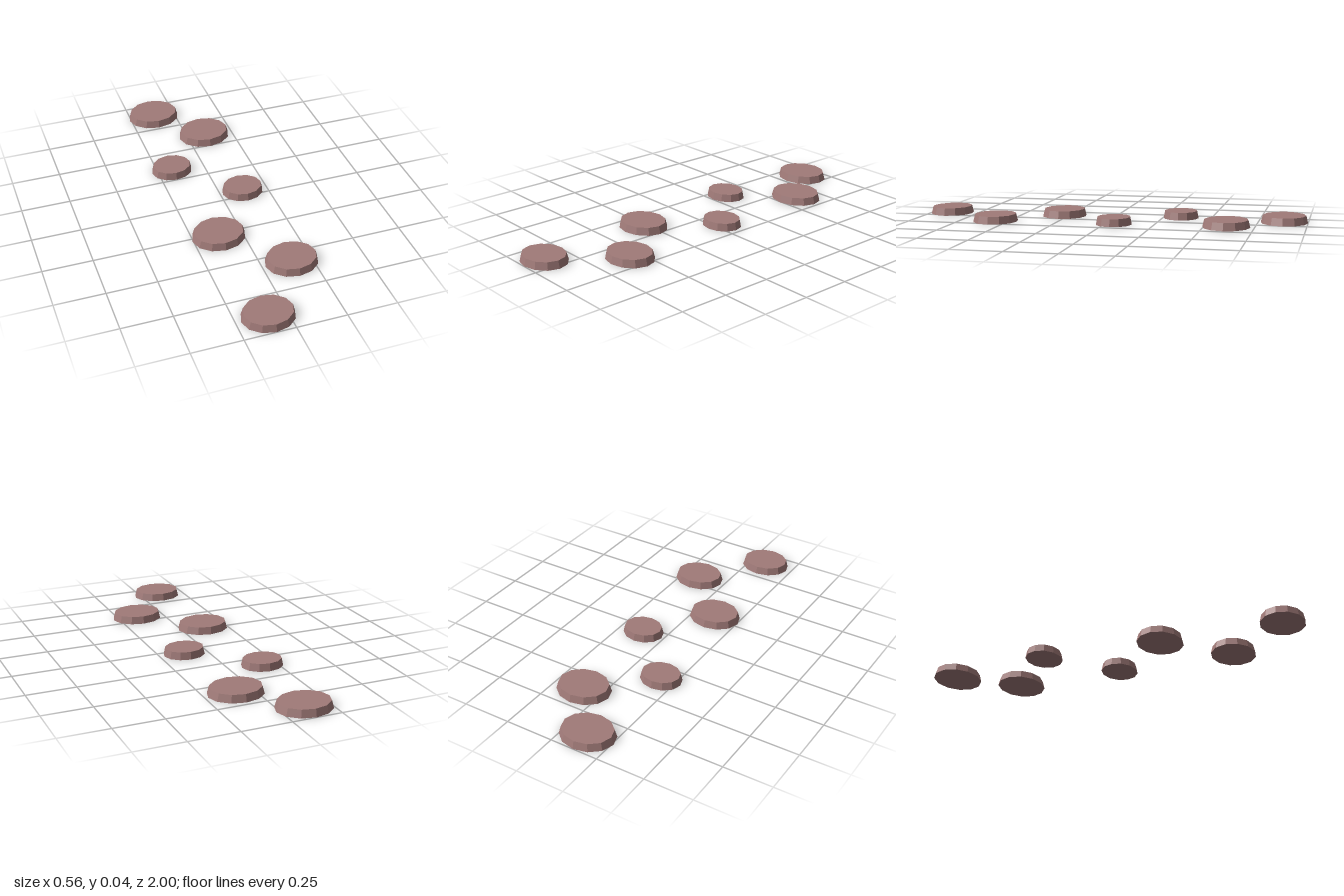
import * as THREE from 'three';

const HEIGHT = 0.038;

// Centre x, centre z and half-width of each stone, back to front
const STONES = [
  [-0.12, -0.881, 0.14],
  [0.094, -0.611, 0.14],
  [-0.174, -0.343, 0.108],
  [0.12, -0.048, 0.108],
  [-0.12, 0.271, 0.136],
  [0.149, 0.566, 0.133],
  [-0.094, 0.889, 0.13],
];

export function createModel() {
  const path = new THREE.Group();
  path.name = 'steppingStonePath';

  const material = new THREE.MeshStandardMaterial({ color: 0xa07a78, flatShading: true });

  // Twelve-sided slab, slightly narrower at the top, standing on y = 0
  const slab = new THREE.CylinderGeometry(0.92, 1, HEIGHT, 12);
  slab.translate(0, HEIGHT / 2, 0);

  STONES.forEach(([x, z, radius], i) => {
    const stone = new THREE.Mesh(slab, material);
    stone.name = `steppingStone${i + 1}`;
    stone.position.set(x, 0, z);
    stone.scale.set(radius, 1, radius * 0.85); // oval, wider across the path
    path.add(stone);
  });

  return path;
}
